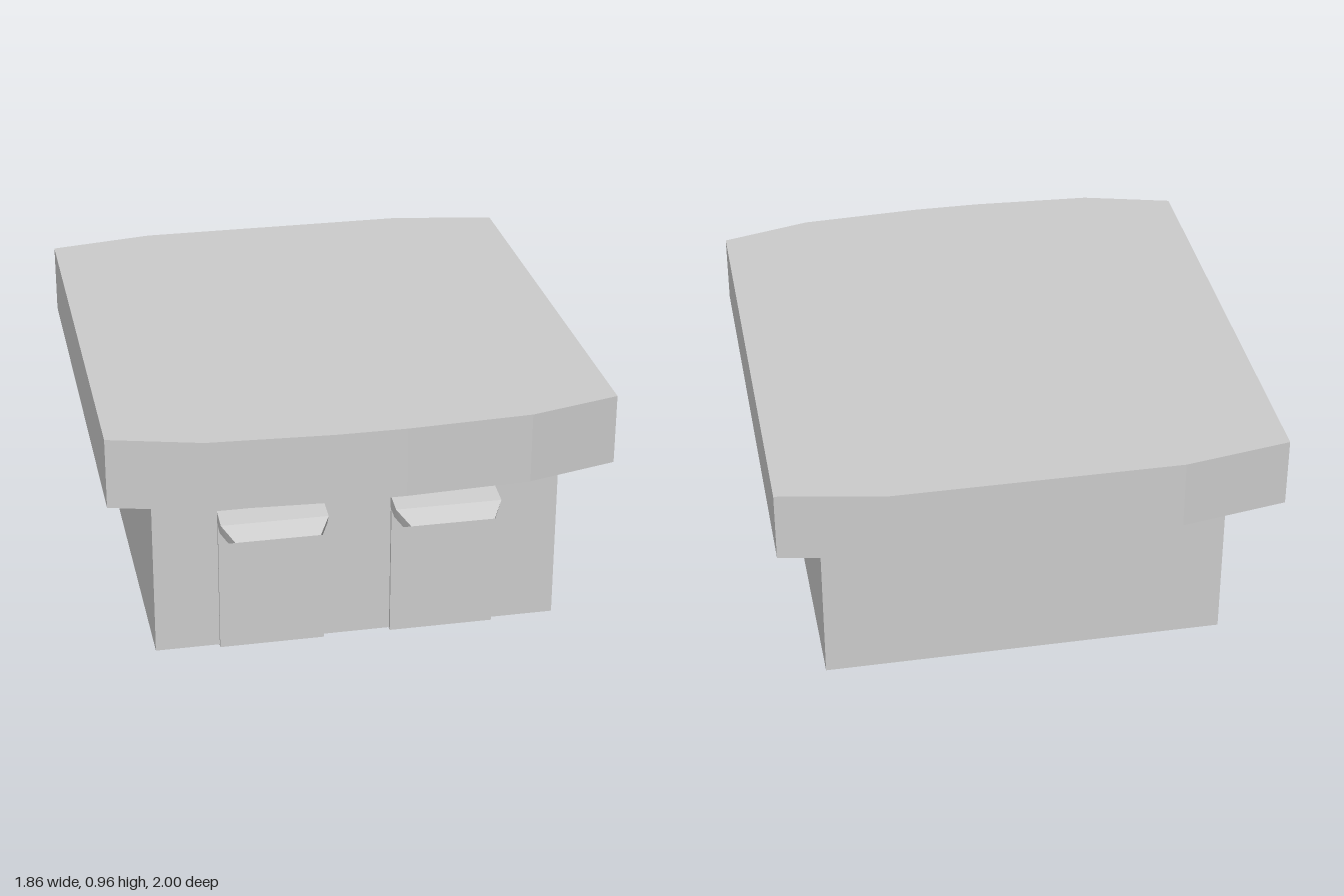
import * as THREE from 'three';

const material = new THREE.MeshStandardMaterial({ color: 0xcccccc, flatShading: true });

function addMesh(parent, name, geometry, x = 0, y = 0, z = 0) {
  const mesh = new THREE.Mesh(geometry, material);
  mesh.name = name;
  mesh.position.set(x, y, z);
  parent.add(mesh);
  return mesh;
}

// Canopy: a side profile of [z, y, inset], mirrored left and right and bridged
function canopyGeometry(width) {
  const profile = [
    [0.74, 0.57, 0], [0.848, 0.555, 0], [0.915, 0.517, 0.042],
    [0.863, 0.488, 0.025], [0.82, 0.51, 0], [0.74, 0.522, 0],
  ];
  const point = (i, side) => {
    const [z, y, inset] = profile[i];
    return [side * (width / 2 - inset), y, z];
  };
  const pos = [];
  const tri = (a, b, c) => pos.push(...a, ...b, ...c);
  const n = profile.length;
  for (let i = 0; i < n; i++) {
    const j = (i + 1) % n;
    tri(point(i, 1), point(i, -1), point(j, 1));
    tri(point(j, 1), point(i, -1), point(j, -1));
  }
  // End faces
  for (const [a, b, c] of [[0, 1, 4], [0, 4, 5], [1, 2, 3], [1, 3, 4]]) {
    tri(point(a, 1), point(b, 1), point(c, 1));
    tri(point(a, -1), point(c, -1), point(b, -1));
  }
  const geometry = new THREE.BufferGeometry();
  geometry.setAttribute('position', new THREE.Float32BufferAttribute(pos, 3));
  geometry.computeVertexNormals();
  return geometry;
}

export function createModel() {
  const model = new THREE.Group();
  model.name = 'building';

  // Main block
  addMesh(model, 'body', new THREE.BoxGeometry(1.52, 0.685, 1.514), 0, 0.3475, 0);

  // Overhanging roof slab with bowed front and back edges, outline in [x, z]
  const half = [[0.13, 1], [0.59, 0.975], [0.93, 0.885], [0.93, -0.93], [0.53, -1]];
  const outline = [...half, ...half.map(([x, z]) => [-x, z]).reverse()];
  const shape = new THREE.Shape(outline.map(([x, z]) => new THREE.Vector2(x, -z)));
  const roof = new THREE.ExtrudeGeometry(shape, { depth: 0.267, bevelEnabled: false });
  roof.rotateX(-Math.PI / 2);
  addMesh(model, 'roof', roof, 0, 0.69, 0);

  // Two doorways, each a thin panel under a canopy
  for (const side of [-1, 1]) {
    const doorway = new THREE.Group();
    doorway.name = side > 0 ? 'leftDoorway' : 'rightDoorway';
    doorway.position.x = side * 0.323;
    addMesh(doorway, 'door', new THREE.BoxGeometry(0.394, 0.54, 0.04), 0, 0.27, 0.75);
    addMesh(doorway, 'canopy', canopyGeometry(0.396));
    model.add(doorway);
  }
  return model;
}
